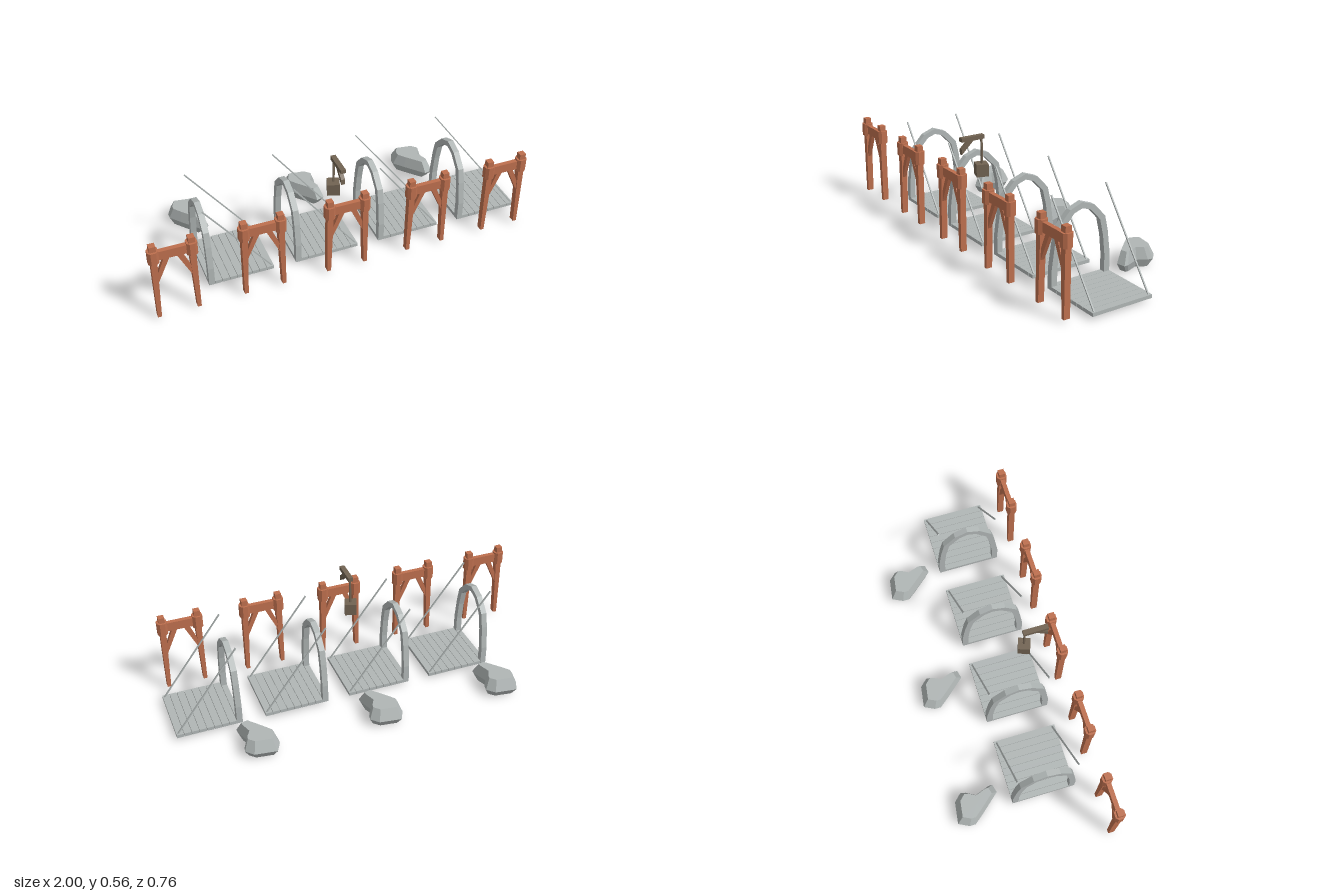
import * as THREE from 'three';

const mat = (name, color) => {
  const m = new THREE.MeshStandardMaterial({ color });
  m.name = name;
  return m;
};

export function createModel() {
  const wood = mat('red wood', 0xbd6f4e);
  const stone = mat('grey stone', 0xb0b6b5);
  const brown = mat('dark brown wood', 0x716352);
  const root = new THREE.Group();

  const add = (parent, name, geo, material, x = 0, y = 0, z = 0) => {
    const m = new THREE.Mesh(geo, material);
    m.name = name;
    m.position.set(x, y, z);
    parent.add(m);
    return m;
  };
  const group = (name, x, z) => {
    const g = new THREE.Group();
    g.name = name;
    g.position.set(x, 0, z);
    root.add(g);
    return g;
  };
  // Flat outline extruded evenly about its own plane
  const plate = (pts, depth) => {
    const shape = new THREE.Shape(pts.map(p => new THREE.Vector2(p[0], p[1])));
    return new THREE.ExtrudeGeometry(shape, { depth, bevelEnabled: false }).translate(0, 0, -depth / 2);
  };
  const box = (w, h, d) => new THREE.BoxGeometry(w, h, d);

  // Timber gates: tapered posts, chamfered collars, crossbeam and braces
  const h = 0.026, c = 0.013;
  const collarGeo = plate([[-h + c, -h], [h - c, -h], [h, -h + c], [h, h - c],
    [h - c, h], [-h + c, h], [-h, h - c], [-h, -h + c]], 0.069).rotateX(-Math.PI / 2);
  for (let i = 0; i < 5; i++) {
    const gate = group('gate', -0.883 + i * 0.4315, 0.357);
    add(gate, 'crossbeam', box(0.16, 0.048, 0.023), wood, 0, 0.382, 0);
    for (const s of [-1, 1]) {
      const mirror = pts => pts.map(([x, y]) => [x * s, y]);
      add(gate, 'post', plate(mirror([[0.107, 0.013], [0.107, 0.445], [0.075, 0.445], [0.075, 0.37],
        [0.088, 0.013]]), 0.032), wood);
      add(gate, 'collar', collarGeo, wood, s * 0.091, 0.3805, 0);
      add(gate, 'brace', plate(mirror([[0.085, 0.212], [0.085, 0.262], [0.045, 0.36], [0.017, 0.36]]), 0.02), wood);
    }
  }

  // Drawbridges: plank deck, faceted stone arch and two stays
  const outer = [[0.1665, 0.015], [0.1665, 0.117], [0.15, 0.24], [0.132, 0.317], [0.068, 0.386], [0, 0.411]];
  const inner = [[0.135, 0.015], [0.135, 0.117], [0.123, 0.22], [0.103, 0.305], [0.045, 0.366], [0, 0.381]];
  const flip = pts => pts.slice(0, -1).reverse().map(([x, y]) => [-x, y]);
  const archGeo = plate([...outer, ...flip(outer), ...flip(inner).reverse(), ...inner.slice().reverse()], 0.03)
    .rotateY(Math.PI / 2);
  const pitch = 0.0384;
  const stayLength = Math.hypot(0.327, 0.437);
  for (const x of [-0.703, -0.249, 0.203, 0.66]) {
    const bridge = group('drawbridge', x, 0.0875);
    add(bridge, 'arch', archGeo, stone, 0.015, 0, 0);
    add(bridge, 'sill', box(0.029, 0.018, 0.333), stone, 0.0145, 0.024, 0);
    for (let i = 0; i < 8; i++) {
      add(bridge, 'plank', box(pitch - 0.002, 0.018, 0.333), stone, 0.03 + pitch * (i + 0.5), 0.024, 0);
    }
    for (const s of [-1, 1]) {
      const stay = add(bridge, 'stay', box(stayLength, 0.006, 0.007), stone, 0.1645, 0.2485, s * 0.153);
      stay.rotation.z = -Math.atan2(0.437, 0.327);
    }
  }

  // Hoist with a hanging crate
  const hoist = group('hoist', -0.02, 0);
  add(hoist, 'hoistArm', box(0.026, 0.021, 0.13), brown, 0, 0.5535, 0.238);
  add(hoist, 'hoistBrace', plate([[-0.303, 0.478], [-0.232, 0.545], [-0.262, 0.545], [-0.303, 0.507]], 0.02)
    .rotateY(Math.PI / 2), brown);
  add(hoist, 'rope', box(0.009, 0.132, 0.009), brown, 0, 0.478, 0.183);
  const crate = add(hoist, 'crate', box(0.062, 0.064, 0.062), brown, -0.002, 0.381, 0.184);
  crate.rotation.y = -0.33;

  // Boulders: one outline scaled into base, waist and top rings
  const outline = [[-0.061, -0.118], [0.051, -0.102], [0.088, -0.064], [0.083, -0.037], [0.056, 0.011],
    [0.083, 0.086], [0.083, 0.107], [0.04, 0.118], [-0.045, 0.021], [-0.088, -0.032], [-0.088, -0.064]];
  const rings = [[0, 0.77], [0.042, 1], [0.102, 0.74]].map(([y, k]) => outline.map(([x, z]) => [x * k, y, z * k]));
  const tris = [];
  outline.forEach((_, i) => {
    const j = (i + 1) % outline.length;
    for (let r = 0; r < 2; r++) {
      const [lo, hi] = [rings[r], rings[r + 1]];
      tris.push(lo[i], hi[i], lo[j], lo[j], hi[i], hi[j]);
    }
    tris.push([0, 0, 0], rings[0][i], rings[0][j], [0, 0.102, 0], rings[2][j], rings[2][i]);
  });
  const boulderGeo = new THREE.BufferGeometry();
  boulderGeo.setAttribute('position', new THREE.Float32BufferAttribute(tris.flat(), 3));
  boulderGeo.computeVertexNormals();
  for (const x of [-0.668, -0.019, 0.63]) add(root, 'boulder', boulderGeo, stone, x, 0, -0.26);

  return root;
}
